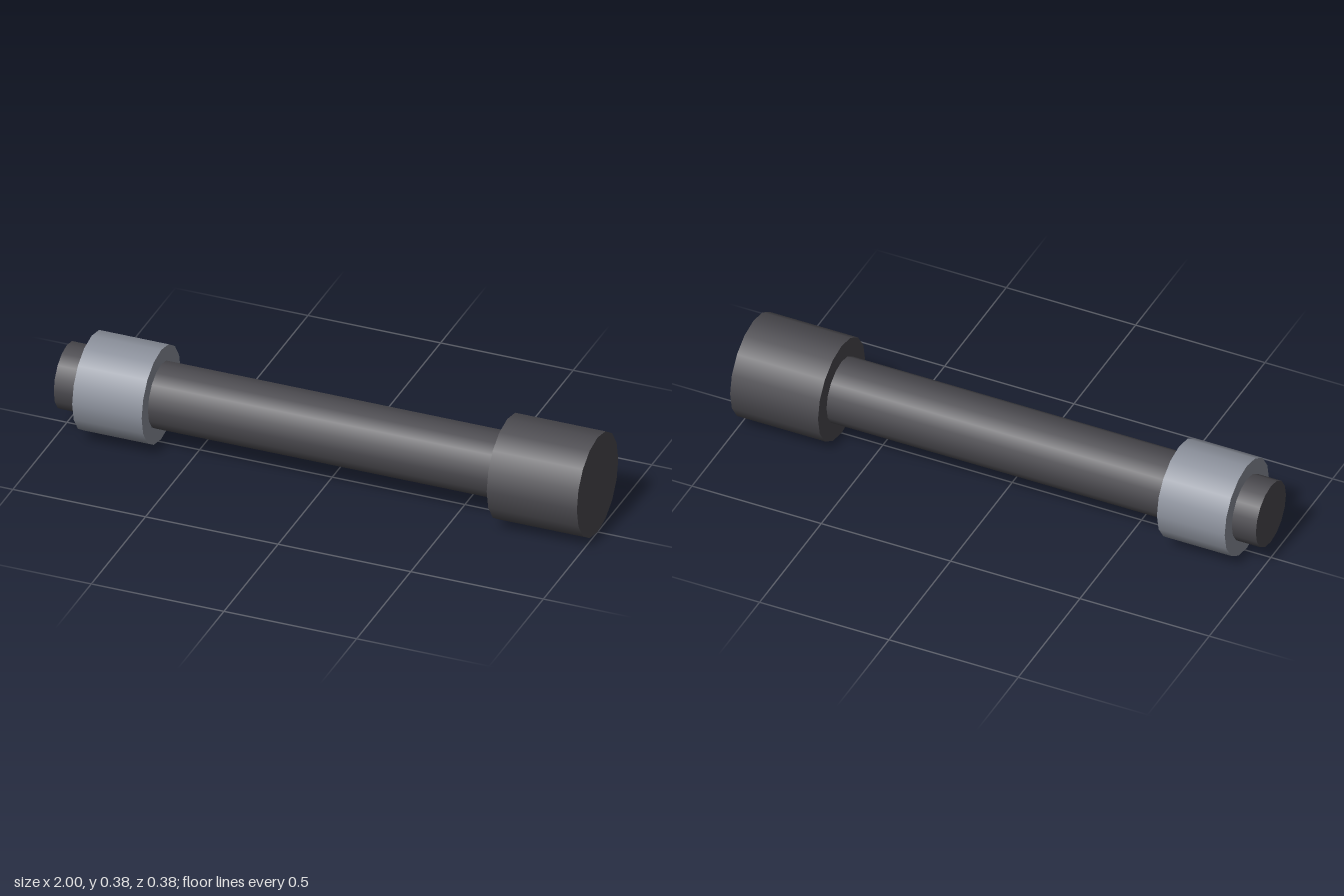
import * as THREE from 'three';

export function createModel() {
  const model = new THREE.Group();
  model.name = 'boltAndCollar';

  const darkSteel = new THREE.MeshStandardMaterial({ color: 0x4a494e });
  darkSteel.name = 'darkSteel';
  const paleSteel = new THREE.MeshStandardMaterial({ color: 0x8a8f9a });
  paleSteel.name = 'paleSteel';

  const axisY = 0.191;

  // Sixteen-sided cylinder lying along x, from x0 to x1
  function addRod(name, radius, x0, x1, material) {
    const geometry = new THREE.CylinderGeometry(radius, radius, x1 - x0, 16);
    geometry.rotateZ(-Math.PI / 2);
    const mesh = new THREE.Mesh(geometry, material);
    mesh.name = name;
    mesh.position.set((x0 + x1) / 2, axisY, 0);
    model.add(mesh);
  }

  addRod('shaft', 0.122, -1, 0.665, darkSteel);
  addRod('head', 0.191, 0.66, 1, darkSteel);
  addRod('collar', 0.18, -0.907, -0.645, paleSteel);

  return model;
}
